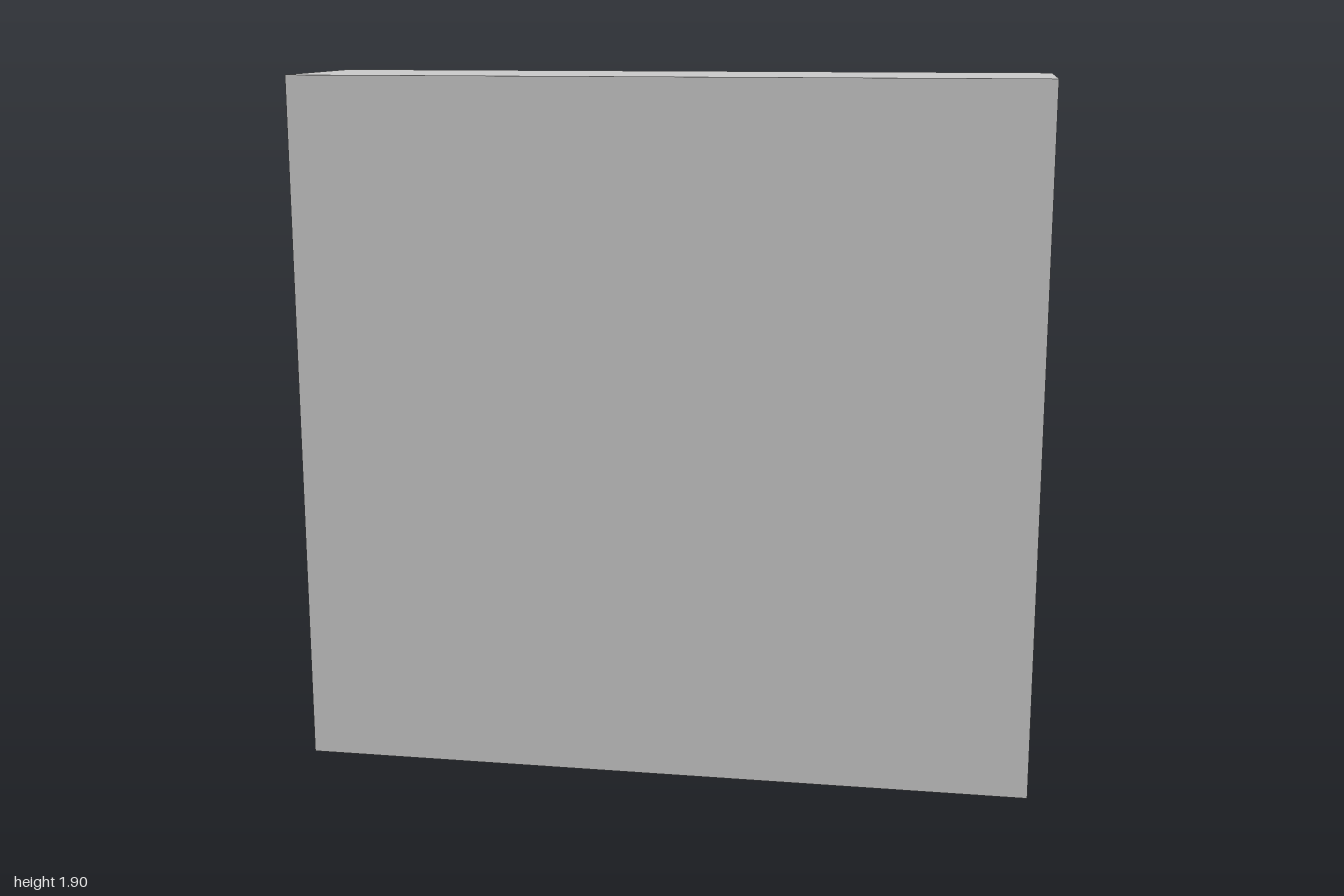
import * as THREE from 'three';

const W = 2, H = 1.9, D = 0.5, WALL = 0.038, BASE = 0.082;

export function createModel() {
  const group = new THREE.Group();
  const grey = new THREE.MeshStandardMaterial({ color: 0xcccccc });
  grey.name = 'light grey';

  const add = (name, geometry, x, y, z, parent = group) => {
    const mesh = new THREE.Mesh(geometry, grey);
    mesh.name = name;
    mesh.position.set(x, y, z);
    parent.add(mesh);
    return mesh;
  };

  // Outer case, open at the back and closed by the front panel
  const depth = D - WALL;
  const innerW = W - 2 * WALL;
  const board = (w, h, d) => new THREE.BoxGeometry(w, h, d);
  for (const s of [-1, 1]) {
    add(s > 0 ? 'leftWall' : 'rightWall', board(WALL, H, D), s * (W - WALL) / 2, H / 2, 0);
  }
  add('topBoard', board(innerW, WALL, D), 0, H - WALL / 2, 0);
  add('baseBoard', board(innerW, BASE, D), 0, BASE / 2, 0);
  add('frontPanel', board(innerW, H - WALL - BASE, WALL), 0, (H - WALL + BASE) / 2, (D - WALL) / 2);

  // Seven shelves, each with a row of nine hexagonal pegs above it
  const shelfGeo = board(innerW, 0.024, depth);
  const pegLength = depth - 0.033;
  const pegGeo = new THREE.CylinderGeometry(0.044, 0.044, pegLength, 6).toNonIndexed();
  pegGeo.rotateY(Math.PI / 6).rotateX(Math.PI / 2);
  pegGeo.computeVertexNormals();

  for (let row = 0; row < 7; row++) {
    const y = 0.113 + row * 0.255;
    add('shelf', shelfGeo, 0, y, -WALL / 2);
    const pegs = new THREE.Group();
    pegs.name = 'pegRow';
    group.add(pegs);
    for (let i = -4; i <= 4; i++) {
      add('peg', pegGeo, i * 0.22, y + 0.087, D / 2 - WALL - pegLength / 2, pegs);
    }
  }
  return group;
}
